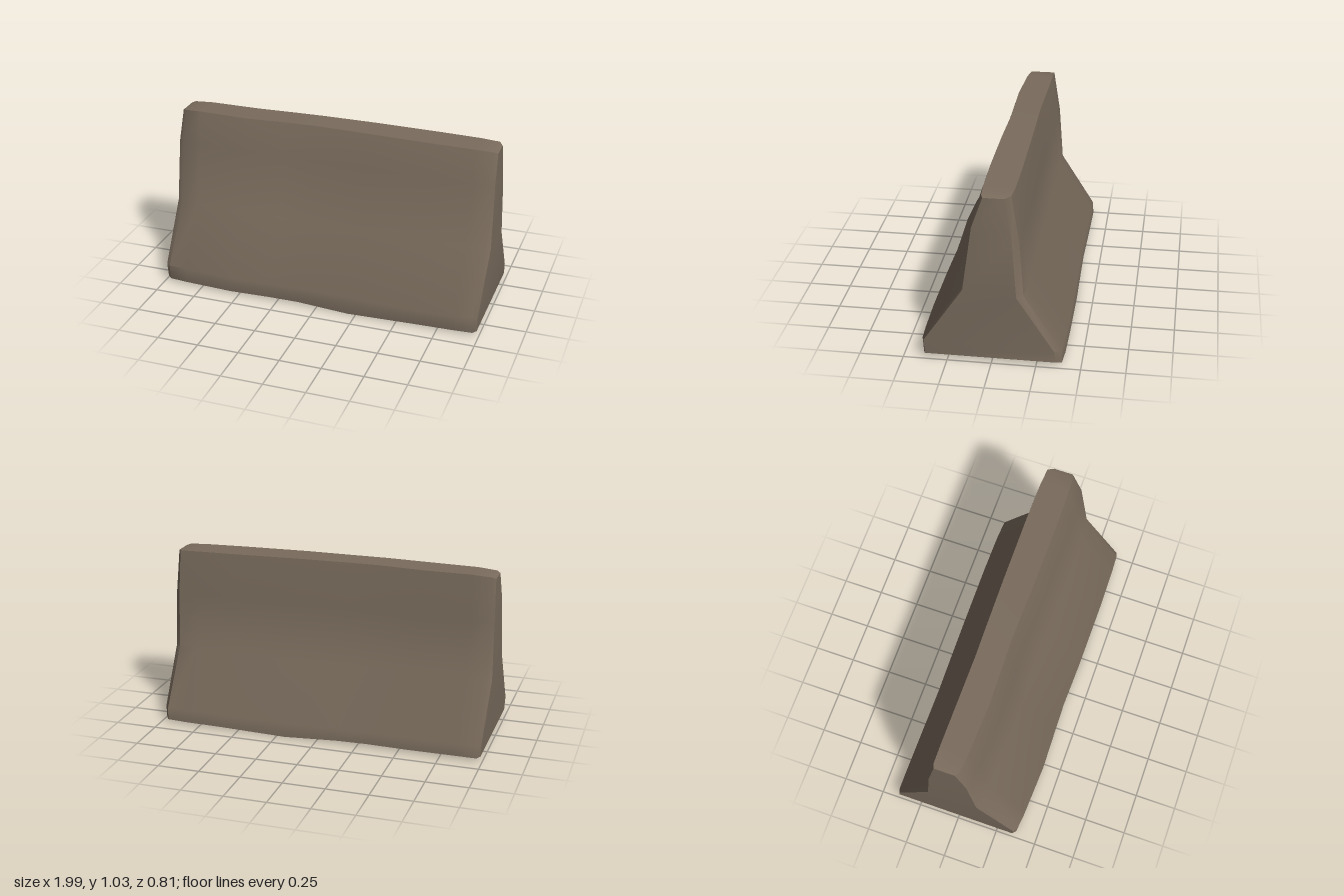
import * as THREE from 'three';
import { toCreasedNormals } from 'three/addons/utils/BufferGeometryUtils.js';

// Cross-section [z, y]: up the front, over the top, down the back
const PROFILE = [
  [0.39, 0.02], [0.397, 0.12], [0.17, 0.46], [0.117, 0.84], [0.055, 1.03],
  [-0.118, 1.03], [-0.158, 0.77], [-0.183, 0.43], [-0.395, 0.1], [-0.4, 0.02],
];
const N = PROFILE.length;

// Stations along the length: [x, front shift, back shift, top lift, base lift]
const STATIONS = [
  [-0.965, -0.022, 0, -0.004, 0.006],
  [-0.85, -0.01, 0, 0.003, 0.006],
  [-0.55, 0.004, 0.003, 0.003, 0.004],
  [-0.3, -0.002, 0.006, 0.009, 0.006],
  [-0.12, -0.006, 0.003, 0.01, 0.004],
  [0.2, 0.002, -0.001, 0.008, -0.012],
  [0.6, 0.006, -0.003, 0.002, 0],
  [0.85, 0.002, 0, -0.002, 0.002],
  [0.96, -0.003, 0.008, -0.006, 0.003],
];

function section([x, front, back, top, base]) {
  return PROFILE.map(([z, y]) => [
    x,
    y + (y > 1 ? top : y < 0.05 ? base : 0),
    z + (z > 0 ? front : back),
  ]);
}

// Inset end section, bulging slightly at mid height to make a worn chamfer
function endSection(side, x, frontInset, backInset) {
  return section(side).map(([, y, z]) => {
    const bulge = 0.012 * Math.sin(Math.PI * Math.min(1, Math.max(0, y)));
    const newY = y > 1 ? y - 0.008 : y < 0.05 ? y + 0.01 : y;
    return [x + Math.sign(x) * bulge, newY, z - (z > 0 ? frontInset : -backInset)];
  });
}

function barrierGeometry() {
  const rings = [
    endSection(STATIONS[0], -0.986, 0.018, 0.008),
    ...STATIONS.map(section),
    endSection(STATIONS[STATIONS.length - 1], 0.983, 0.01, 0.035),
  ];
  const index = [];
  const quad = (a, b, c, d) => index.push(a, b, c, a, c, d);

  // Skin between neighbouring sections, closed under the base
  for (let i = 0; i < rings.length - 1; i++) {
    for (let j = 0; j < N; j++) {
      const k = (j + 1) % N;
      quad(i * N + j, (i + 1) * N + j, (i + 1) * N + k, i * N + k);
    }
  }
  // End faces, joining front points to back points
  const last = (rings.length - 1) * N;
  for (let j = 0; j < N / 2 - 1; j++) {
    const b = N - 1 - j;
    quad(last + j, last + b, last + b - 1, last + j + 1);
    quad(b, j, j + 1, b - 1);
  }

  const geometry = new THREE.BufferGeometry();
  geometry.setAttribute('position', new THREE.Float32BufferAttribute(rings.flat(2), 3));
  geometry.setIndex(index);
  return toCreasedNormals(geometry, 0.7);
}

export function createModel() {
  const group = new THREE.Group();
  group.name = 'roadBarrier';
  const concrete = new THREE.MeshStandardMaterial({ color: 0x7a6c5d });
  concrete.name = 'concrete';

  const body = new THREE.Mesh(barrierGeometry(), concrete);
  body.name = 'barrierBody';
  group.add(body);
  return group;
}
